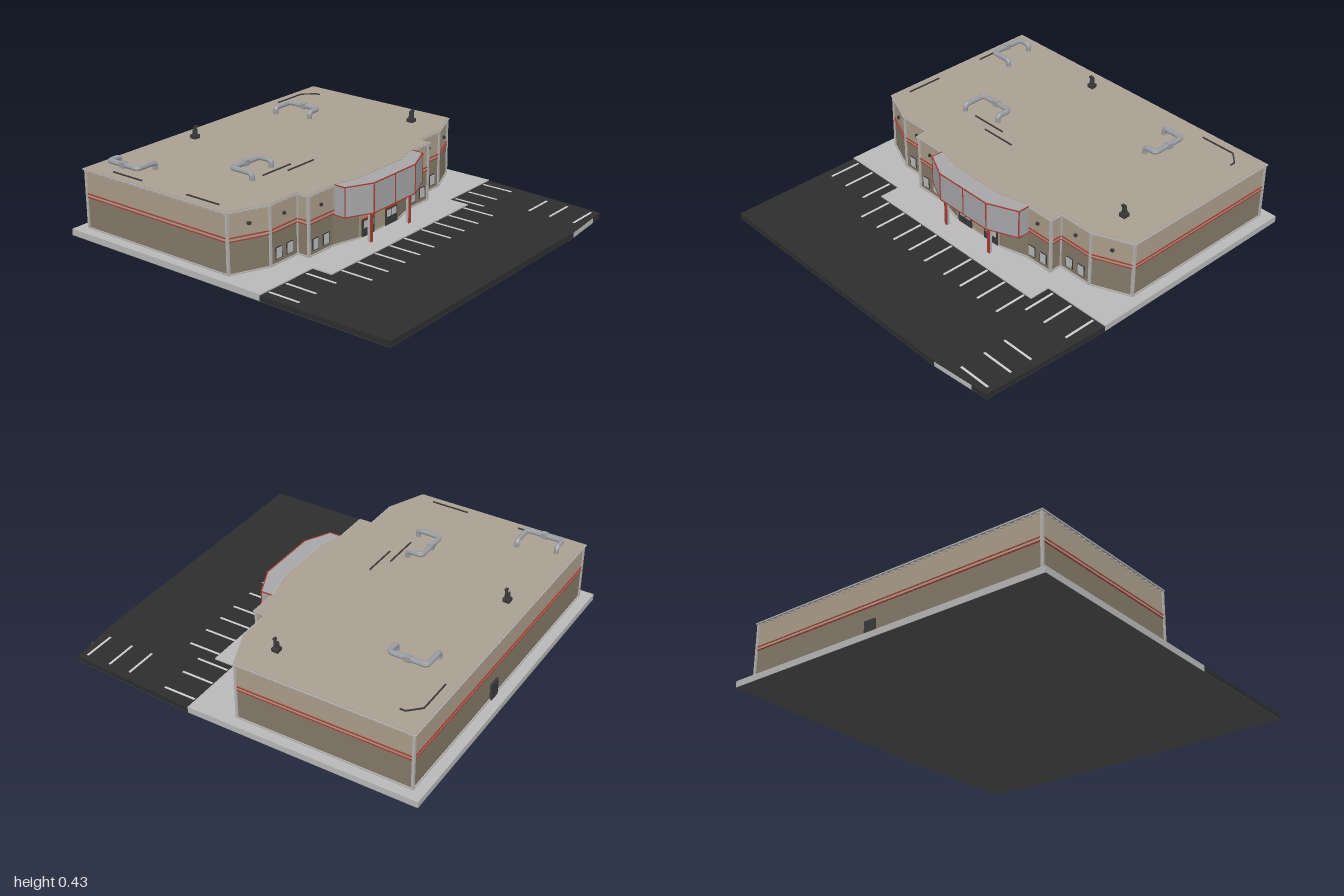
import * as THREE from 'three';

const mat = (color) => new THREE.MeshStandardMaterial({ color, flatShading: true });
const M = {
  roof: mat(0xaa9f92), upper: mat(0xab9d8a), lower: mat(0x857969), entry: mat(0xa39780),
  concrete: mat(0xb8b8b8), asphalt: mat(0x2d2d2d), under: mat(0x555555), line: mat(0xc4c4c4),
  canopy: mat(0xa6a6a8), red: mat(0xa83a32), duct: mat(0x999ca0), dark: mat(0x3a3a3a),
  trim: mat(0xb5b3b0), glass: mat(0xb9bcbd),
};

// Half of the plan is mirrored in z; points are [x, z]
const FOOTPRINT = [
  [-0.95, -0.9], [0.02, -0.9], [0.11, -0.69], [0.11, -0.5], [0.18, -0.5], [0.18, -0.33], [0.22, -0.18],
  [0.22, 0.16], [0.18, 0.31], [0.18, 0.5], [0.11, 0.5], [0.11, 0.69], [0.02, 0.9], [-0.95, 0.9],
];
const CANOPY = [[0.175, -0.34], [0.24, -0.34], [0.31, -0.18], [0.31, 0.16], [0.24, 0.3], [0.175, 0.3]];
const GROUND = [[-1, -0.95], [0.26, -0.95], [0.97, -0.91], [1, -0.59], [1, 0.95], [-1, 0.95]];
const WALK = [
  [-1, -0.95], [0.26, -0.95], [0.26, -0.57], [0.375, -0.57],
  [0.375, 0.57], [0.26, 0.57], [0.26, 0.95], [-1, 0.95],
];

// Mitred outline, moved outward by d
function offset(poly, d) {
  const n = poly.length;
  const normal = (a, b) => {
    const l = Math.hypot(b[0] - a[0], b[1] - a[1]);
    return [(b[1] - a[1]) / l, (a[0] - b[0]) / l];
  };
  return poly.map((p, i) => {
    const u = normal(poly[(i + n - 1) % n], p), v = normal(p, poly[(i + 1) % n]);
    const k = d / (1 + u[0] * v[0] + u[1] * v[1]);
    return [p[0] + (u[0] + v[0]) * k, p[1] + (u[1] + v[1]) * k];
  });
}

export function createModel() {
  const model = new THREE.Group();
  model.name = 'building';

  const add = (parent, name, geo, material) => {
    const mesh = new THREE.Mesh(geo, material);
    mesh.name = name;
    parent.add(mesh);
    return mesh;
  };
  const group = (name) => {
    const g = new THREE.Group();
    g.name = name;
    model.add(g);
    return g;
  };
  // Plan outline raised from y0 to y1
  const slab = (name, poly, y0, y1, material) => {
    const shape = new THREE.Shape(poly.map(([x, z]) => new THREE.Vector2(x, -z)));
    const geo = new THREE.ExtrudeGeometry(shape, { depth: y1 - y0, bevelEnabled: false });
    geo.rotateX(-Math.PI / 2).translate(0, y0, 0);
    return add(model, name, geo, material);
  };
  // Box given by its centre
  const box = (parent, name, w, h, d, x, y, z, material) => {
    const m = add(parent, name, new THREE.BoxGeometry(w, h, d), material);
    m.position.set(x, y, z);
    return m;
  };
  // Thin bar between two plan points
  const bar = (parent, name, a, b, y, h, t, material) => {
    const dx = b[0] - a[0], dz = b[1] - a[1];
    const m = box(parent, name, Math.hypot(dx, dz), h, t, (a[0] + b[0]) / 2, y, (a[1] + b[1]) / 2, material);
    m.rotation.y = -Math.atan2(dz, dx);
    return m;
  };

  // Ground
  slab('underside', GROUND, 0, 0.002, M.under);
  slab('asphalt', [[0.26, -0.95], ...GROUND.slice(2, 5), [0.26, 0.95]], 0.002, 0.03, M.asphalt);
  slab('sidewalk', WALK, 0.002, 0.036, M.concrete);
  bar(model, 'kerbFace', [0.998, -0.59], [0.978, -0.82], 0.015, 0.026, 0.006, M.concrete);

  // Parking lines
  const lines = group('parkingLines');
  for (const z of [-0.88, -0.735, -0.61, 0.63, 0.775, 0.895])
    box(lines, 'parkingLine', 0.18, 0.002, 0.012, 0.36, 0.031, z, M.line);
  for (const z of [-0.525, -0.39, -0.265, -0.145, 0, 0.12, 0.24, 0.375, 0.5])
    box(lines, 'parkingLine', 0.18, 0.002, 0.012, 0.47, 0.031, z, M.line);
  for (const x of [0.67, 0.795, 0.935])
    box(lines, 'parkingLine', 0.012, 0.002, 0.18, x, 0.031, -0.79, M.line);

  // Walls in stacked bands
  const wall = offset(FOOTPRINT, -0.012);
  slab('plinth', offset(wall, 0.006), 0.036, 0.043, M.trim);
  slab('lowerWall', wall, 0.043, 0.203, M.lower);
  slab('lowerStripe', offset(wall, 0.005), 0.203, 0.208, M.red);
  slab('wallBelt', offset(wall, 0.002), 0.208, 0.221, M.upper);
  slab('upperStripe', offset(wall, 0.005), 0.221, 0.226, M.red);
  slab('upperWall', wall, 0.226, 0.35, M.upper);
  slab('cornice', FOOTPRINT, 0.35, 0.357, M.trim);
  slab('roof', offset(FOOTPRINT, -0.006), 0.357, 0.36, M.roof);

  // Small blocks under the cornice
  const dentils = group('corniceBlocks');
  wall.forEach((a, i) => {
    if (i >= 5 && i <= 7) return;
    const b = wall[(i + 1) % wall.length];
    const n = Math.floor(Math.hypot(b[0] - a[0], b[1] - a[1]) / 0.04);
    for (let k = 0; k < n; k++) {
      const t = (k + 0.5) / n;
      box(dentils, 'corniceBlock', 0.012, 0.008, 0.012,
        a[0] + (b[0] - a[0]) * t, 0.346, a[1] + (b[1] - a[1]) * t, M.trim);
    }
  });

  // Corner posts
  const posts = group('cornerPosts');
  for (const i of [0, 1, 2, 3, 4, 9, 10, 11, 12, 13])
    box(posts, 'cornerPost', 0.013, 0.31, 0.013, wall[i][0], 0.195, wall[i][1], M.trim);

  // Entrance wall, doors and canopy
  const entrance = group('entrance');
  const front = wall[6][0];
  box(entrance, 'entranceWall', 0.01, 0.16, 0.32, front, 0.12, -0.01, M.entry);
  for (const z of [0.083, -0.11]) {
    box(entrance, 'doorFrame', 0.014, 0.095, 0.1, front + 0.002, 0.084, z, M.dark);
    for (const s of [-1, 1])
      box(entrance, 'doorGlass', 0.004, 0.036, 0.034, front + 0.009, 0.1, z + s * 0.021, M.glass);
    box(entrance, 'doorHead', 0.008, 0.006, 0.106, front + 0.008, 0.131, z, M.red);
  }
  for (const z of [0.15, -0.17]) {
    box(entrance, 'canopyPillar', 0.016, 0.165, 0.016, 0.278, 0.118, z, M.trim);
    box(entrance, 'pillarTrim', 0.004, 0.165, 0.018, 0.287, 0.118, z, M.red);
  }
  slab('canopy', CANOPY, 0.2, 0.356, M.canopy);
  for (let i = 0; i < CANOPY.length - 1; i++)
    for (const y of [0.2, 0.356]) bar(entrance, 'canopyEdge', CANOPY[i], CANOPY[i + 1], y, 0.005, 0.005, M.red);
  for (const [x, z] of [...CANOPY.slice(1, 5), [0.31, -0.012]])
    box(entrance, 'canopySeam', 0.005, 0.156, 0.005, x, 0.278, z, M.red);

  // Windows and wall lamps
  const fittings = group('windowsAndLamps');
  for (const s of [-1, 1]) {
    for (const [x, z] of [[0.098, 0.63], [0.098, 0.55], [0.168, 0.44], [0.168, 0.36]]) {
      box(fittings, 'windowFrame', 0.008, 0.062, 0.046, x, 0.093, s * z, M.dark);
      box(fittings, 'window', 0.012, 0.054, 0.038, x, 0.093, s * z, M.glass);
    }
    for (const [x, z] of [[0.06, 0.79], [0.102, 0.59], [0.172, 0.4]])
      box(fittings, 'wallLamp', 0.016, 0.014, 0.014, x, 0.284, s * z, M.dark);
  }
  box(model, 'backDoor', 0.02, 0.095, 0.065, -0.94, 0.084, -0.11, M.dark);

  // Roof ducts: a square section swept along straight runs, with legs down to the roof
  const ducts = group('roofDucts');
  const runs = [
    [[-0.77, -0.36], [-0.77, -0.48], [-0.57, -0.48], [-0.57, -0.41]],
    [[-0.22, 0.31], [-0.3, 0.31], [-0.3, 0.51], [-0.17, 0.51]],
    [[-0.85, 0.74], [-0.85, 0.81], [-0.65, 0.81], [-0.65, 0.69]],
  ];
  for (const run of runs) {
    const at = ([x, z], y) => new THREE.Vector3(x, y, z);
    const pts = [at(run[0], 0.355), ...run.map((p) => at(p, 0.396)), at(run[3], 0.355)];
    const path = new THREE.CurvePath();
    let from = pts[0];
    for (let i = 1; i < pts.length - 1; i++) {
      const p = pts[i];
      const before = p.clone().add(pts[i - 1].clone().sub(p).setLength(0.02));
      const after = p.clone().add(pts[i + 1].clone().sub(p).setLength(0.02));
      path.add(new THREE.LineCurve3(from, before));
      path.add(new THREE.QuadraticBezierCurve3(before, p, after));
      from = after;
    }
    path.add(new THREE.LineCurve3(from, pts[5]));
    add(ducts, 'duct', new THREE.TubeGeometry(path, 70, 0.014, 8, false), M.duct);
    const mid = [(run[1][0] + run[2][0]) / 2, (run[1][1] + run[2][1]) / 2];
    box(ducts, 'ductJoint', 0.03, 0.031, 0.03, mid[0], 0.396, mid[1], M.duct);
  }

  // Roof vents
  for (const [x, z] of [[-0.1, -0.71], [-0.83, 0.22]]) {
    const vent = group('roofVent');
    box(vent, 'ventBase', 0.036, 0.022, 0.036, x, 0.369, z, M.dark);
    for (const s of [-1, 1]) {
      const pipe = add(vent, 'ventPipe', new THREE.CylinderGeometry(0.006, 0.009, 0.045 + s * 0.006, 8), M.dark);
      pipe.position.set(x + s * 0.008, 0.4 + s * 0.003, z);
    }
    box(vent, 'ventCap', 0.014, 0.01, 0.018, x + 0.008, 0.426, z, M.dark);
  }

  // Roof conduits
  const conduits = group('roofConduits');
  const pipes = [
    [[-0.89, -0.52], [-0.89, -0.72], [-0.83, -0.78], [-0.8, -0.78]],
    [[-0.12, 0.1], [-0.12, 0.3]], [[-0.17, 0.22], [-0.17, 0.43]],
    [[-0.78, 0.85], [-0.58, 0.85]], [[-0.28, 0.85], [-0.07, 0.85]],
  ];
  for (const p of pipes)
    for (let i = 1; i < p.length; i++) bar(conduits, 'conduit', p[i - 1], p[i], 0.363, 0.006, 0.006, M.dark);

  return model;
}
